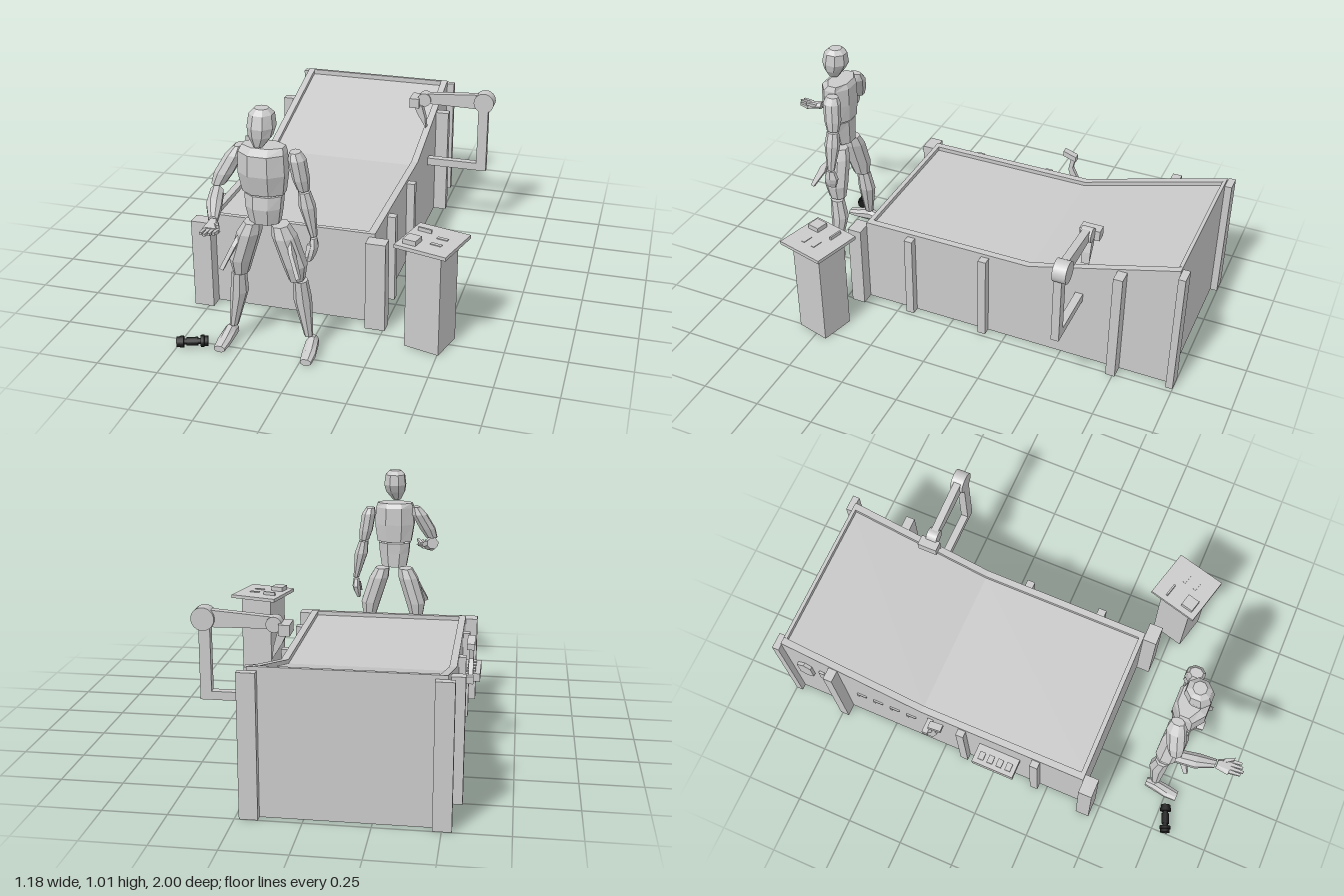
import * as THREE from 'three';

const grey = new THREE.MeshStandardMaterial({ color: 0xcacaca });
grey.name = 'lightGrey';
const black = new THREE.MeshStandardMaterial({ color: 0x1c1c1c });
black.name = 'black';

function add(parent, name, geometry, material = grey) {
  const mesh = new THREE.Mesh(geometry, material);
  mesh.name = name;
  parent.add(mesh);
  return mesh;
}

// Box given by its limits on each axis
function box(parent, name, x0, x1, y0, y1, z0, z1) {
  const mesh = add(parent, name, new THREE.BoxGeometry(x1 - x0, y1 - y0, z1 - z0));
  mesh.position.set((x0 + x1) / 2, (y0 + y1) / 2, (z0 + z1) / 2);
  return mesh;
}

// Outline in x and y, extruded from z0 to z1
function plateXY(parent, name, points, z0, z1) {
  const shape = new THREE.Shape(points.map(p => new THREE.Vector2(...p)));
  const geo = new THREE.ExtrudeGeometry(shape, { depth: z1 - z0, bevelEnabled: false });
  return add(parent, name, geo.translate(0, 0, z0));
}

// Outline in z and y, extruded from x0 to x1
function plateZY(parent, name, points, x0, x1) {
  const shape = new THREE.Shape(points.map(p => new THREE.Vector2(-p[0], p[1])));
  const geo = new THREE.ExtrudeGeometry(shape, { depth: x1 - x0, bevelEnabled: false });
  return add(parent, name, geo.rotateY(Math.PI / 2).translate(x0, 0, 0));
}

// Faceted body through rings [x, y, z, halfWidth, halfDepth], from top down (or front to back along z)
function loft(parent, name, rings, sides = 8, alongZ = false) {
  const n = rings.length - 1;
  let geo = new THREE.CylinderGeometry(1, 1, 1, sides, n, false, Math.PI / sides);
  const pos = geo.attributes.position, k = 1 / Math.cos(Math.PI / sides);
  for (let i = 0; i < pos.count; i++) {
    const [x, y, z, w, d] = rings[Math.round((0.5 - pos.getY(i)) * n)];
    const a = pos.getX(i) * k * w, b = pos.getZ(i) * k * d;
    if (alongZ) pos.setXYZ(i, x + a, y - b, z);
    else pos.setXYZ(i, x + a, y, z + b);
  }
  geo = geo.toNonIndexed();
  geo.computeVertexNormals();
  return add(parent, name, geo);
}

function makeBed() {
  const bed = new THREE.Group();
  bed.name = 'slopedBed';
  const profile = top => [[0.41, 0], [0.41, top], [-0.34, top], [-0.97, top + 0.175], [-0.97, 0]];
  plateZY(bed, 'bedSurface', profile(0.382), -0.48, 0.17);
  plateZY(bed, 'rightWall', profile(0.4), -0.51, -0.48);
  plateZY(bed, 'leftWall', profile(0.4), 0.17, 0.2);
  box(bed, 'frontRim', -0.48, 0.17, 0.38, 0.4, 0.39, 0.41);
  box(bed, 'backRim', -0.48, 0.17, 0.54, 0.575, -0.97, -0.955);

  // Posts, mirrored about the bed's centre line
  const mid = -0.152;
  for (const s of [-1, 1]) {
    const post = (name, a, b, h, z0, z1) =>
      box(bed, name, mid + (s < 0 ? -b : a), mid + (s < 0 ? -a : b), 0, h, z0, z1);
    post('frontPost', 0.327, 0.41, 0.385, 0.41, 0.47);
    post('backPost', 0.315, 0.385, 0.56, -1, -0.97);
    post('tallSidePost', 0.35, 0.411, 0.5, -0.76, -0.72);
    post('sidePost', 0.35, 0.387, 0.385, -0.165, -0.13);
    post('sidePost', 0.35, 0.387, 0.385, 0.177, 0.213);
  }

  // Control shelf and its buttons
  box(bed, 'controlShelf', -0.595, -0.51, 0.25, 0.285, -0.07, 0.12);
  for (let i = 0; i < 4; i++) box(bed, 'shelfButton', -0.575, -0.54, 0.285, 0.292, -0.05 + i * 0.042, -0.025 + i * 0.042);

  // Lever
  box(bed, 'leverMount', -0.575, -0.51, 0.32, 0.35, -0.31, -0.285);
  plateZY(bed, 'leverArm', [[-0.3, 0.32], [-0.26, 0.32], [-0.235, 0.4], [-0.245, 0.46], [-0.265, 0.46], [-0.255, 0.41]], -0.572, -0.553);
  plateZY(bed, 'leverGrip', [[-0.21, 0.47], [-0.21, 0.495], [-0.27, 0.475], [-0.27, 0.45]], -0.576, -0.545);

  // Wall fittings
  plateZY(bed, 'hexPlate', [[-0.925, 0.3], [-0.895, 0.28], [-0.86, 0.3], [-0.86, 0.39], [-0.89, 0.41], [-0.925, 0.39]], -0.525, -0.51);
  box(bed, 'smallPlate', -0.52, -0.51, 0.31, 0.38, -0.825, -0.8);
  for (const z of [-0.66, -0.58, -0.5, -0.42]) {
    box(bed, 'wallMark', -0.517, -0.51, 0.26, 0.27, z, z + 0.045);
    box(bed, 'wallMark', -0.517, -0.51, 0.24, 0.27, z, z + 0.01);
  }
  return bed;
}

function makeRobotArm() {
  const arm = new THREE.Group();
  arm.name = 'jointedArm';
  box(arm, 'armBracket', 0.2, 0.475, 0.3, 0.335, -0.583, -0.55);
  box(arm, 'armColumn', 0.43, 0.475, 0.3, 0.64, -0.583, -0.55);
  for (const [name, x, y, r, z, t] of [['elbow', 0.453, 0.632, 0.046, -0.577, 0.056], ['wrist', 0.176, 0.62, 0.031, -0.577, 0.048]]) {
    const joint = add(arm, name, new THREE.CylinderGeometry(r, r, t, 24).rotateX(Math.PI / 2));
    joint.position.set(x, y, z);
  }
  plateXY(arm, 'armBeam', [[0.18, 0.602], [0.45, 0.598], [0.45, 0.668], [0.18, 0.648]], -0.592, -0.56);
  box(arm, 'clawHead', 0.11, 0.155, 0.583, 0.627, -0.622, -0.537);
  plateXY(arm, 'claw', [[0.12, 0.6], [0.145, 0.545], [0.185, 0.48], [0.18, 0.53], [0.16, 0.6]], -0.595, -0.56);
  return arm;
}

function makePedestal() {
  const p = new THREE.Group();
  p.name = 'pedestal';
  box(p, 'column', -0.075, 0.075, 0, 0.44, -0.075, 0.075);
  box(p, 'consoleTop', -0.11, 0.11, 0.44, 0.455, -0.11, 0.11);
  box(p, 'bigButton', -0.085, -0.03, 0.455, 0.475, 0.03, 0.085);
  box(p, 'slot', -0.085, -0.027, 0.455, 0.47, -0.05, -0.042);
  box(p, 'slot', 0.01, 0.055, 0.455, 0.458, -0.03, -0.015);
  box(p, 'slot', 0.01, 0.055, 0.455, 0.458, 0.025, 0.04);
  p.position.set(0.451, 0, 0.5);
  p.rotation.y = -0.256;
  return p;
}

function makeDumbbell() {
  const d = new THREE.Group();
  d.name = 'dumbbell';
  for (const [name, r, len, x] of [['handle', 0.012, 0.11, 0], ['grip', 0.017, 0.045, 0],
    ['weight', 0.021, 0.014, -0.055], ['weight', 0.024, 0.014, -0.04], ['weight', 0.024, 0.014, 0.04], ['weight', 0.021, 0.014, 0.055]]) {
    const part = add(d, name, new THREE.CylinderGeometry(r, r, len, 12).rotateZ(Math.PI / 2), black);
    part.position.x = x;
  }
  d.position.set(-0.441, 0.025, 0.79);
  d.rotation.y = 0.34;
  return d;
}

function makeFigure() {
  const f = new THREE.Group();
  f.name = 'figure';
  loft(f, 'head', [[-0.148, 1.012, 0.715, 0.026, 0.026], [-0.148, 0.993, 0.715, 0.044, 0.047], [-0.148, 0.945, 0.72, 0.05, 0.055],
    [-0.15, 0.91, 0.728, 0.043, 0.043], [-0.155, 0.87, 0.738, 0.018, 0.022]]);
  loft(f, 'chest', [[-0.15, 0.862, 0.7, 0.08, 0.045], [-0.15, 0.84, 0.71, 0.088, 0.066], [-0.15, 0.76, 0.712, 0.092, 0.068], [-0.15, 0.678, 0.705, 0.08, 0.055]]);
  loft(f, 'abdomen', [[-0.15, 0.67, 0.705, 0.073, 0.05], [-0.15, 0.62, 0.71, 0.069, 0.052], [-0.15, 0.555, 0.705, 0.058, 0.045]]);

  // Legs, mirrored about the body's centre line
  for (const s of [-1, 1]) {
    const X = x => -0.148 + s * x;
    loft(f, 'thigh', [[X(0.055), 0.545, 0.7, 0.032, 0.04], [X(0.07), 0.5, 0.7, 0.044, 0.052], [X(0.108), 0.38, 0.695, 0.044, 0.05], [X(0.113), 0.315, 0.69, 0.029, 0.037]]);
    loft(f, 'shin', [[X(0.125), 0.308, 0.685, 0.027, 0.03], [X(0.13), 0.22, 0.675, 0.033, 0.037], [X(0.155), 0.068, 0.685, 0.016, 0.019]]);
    loft(f, 'foot', [[X(0.177), 0.014, 0.8, 0.022, 0.013], [X(0.175), 0.021, 0.75, 0.027, 0.02], [X(0.17), 0.033, 0.69, 0.024, 0.031], [X(0.168), 0.025, 0.65, 0.018, 0.024]], 8, true);
    const plate = plateZY(f, 'hipPlate', [[0.73, 0.5], [0.765, 0.46], [0.8, 0.365], [0.785, 0.36], [0.74, 0.44]], -0.008, 0.008);
    plate.geometry.translate(0, -0.43, -0.75).rotateZ(s * 0.42);
    plate.position.set(X(0.126), 0.43, 0.75);
  }

  // Raised right arm, reaching forward
  loft(f, 'rightUpperArm', [[-0.252, 0.846, 0.685, 0.016, 0.026], [-0.268, 0.81, 0.69, 0.034, 0.038], [-0.305, 0.74, 0.71, 0.036, 0.036], [-0.325, 0.695, 0.72, 0.026, 0.028]]);
  loft(f, 'rightForearm', [[-0.287, 0.62, 0.885, 0.018, 0.016], [-0.312, 0.64, 0.81, 0.03, 0.03], [-0.33, 0.662, 0.73, 0.026, 0.026]], 8, true);
  loft(f, 'rightPalm', [[-0.272, 0.608, 0.945, 0.032, 0.011], [-0.283, 0.615, 0.89, 0.018, 0.016]], 6, true);
  for (let i = 0; i < 4; i++) {
    const x = -0.294 + i * 0.015;
    loft(f, 'rightFinger', [[x + 0.002, 0.617, 1 - Math.abs(i - 1) * 0.008, 0.005, 0.005], [x, 0.608, 0.945, 0.007, 0.008]], 4, true);
  }
  loft(f, 'rightThumb', [[-0.243, 0.63, 0.95, 0.006, 0.006], [-0.265, 0.615, 0.91, 0.009, 0.009]], 4, true);

  // Hanging left arm
  loft(f, 'leftUpperArm', [[-0.035, 0.838, 0.68, 0.02, 0.026], [-0.028, 0.81, 0.68, 0.031, 0.037], [-0.016, 0.73, 0.675, 0.03, 0.036], [-0.008, 0.685, 0.672, 0.022, 0.027]]);
  loft(f, 'leftForearm', [[-0.005, 0.678, 0.672, 0.021, 0.026], [0.006, 0.62, 0.672, 0.03, 0.033], [0.03, 0.5, 0.675, 0.013, 0.017]]);
  loft(f, 'leftHand', [[0.03, 0.492, 0.675, 0.012, 0.017], [0.03, 0.455, 0.675, 0.016, 0.03], [0.026, 0.43, 0.68, 0.014, 0.028], [0.018, 0.402, 0.685, 0.009, 0.02]], 6);
  loft(f, 'leftThumb', [[0.02, 0.472, 0.695, 0.008, 0.009], [0.012, 0.425, 0.71, 0.006, 0.006]], 4);
  return f;
}

export function createModel() {
  const model = new THREE.Group();
  model.name = 'bedWithFigure';
  model.add(makeBed(), makeRobotArm(), makePedestal(), makeDumbbell(), makeFigure());
  return model;
}
